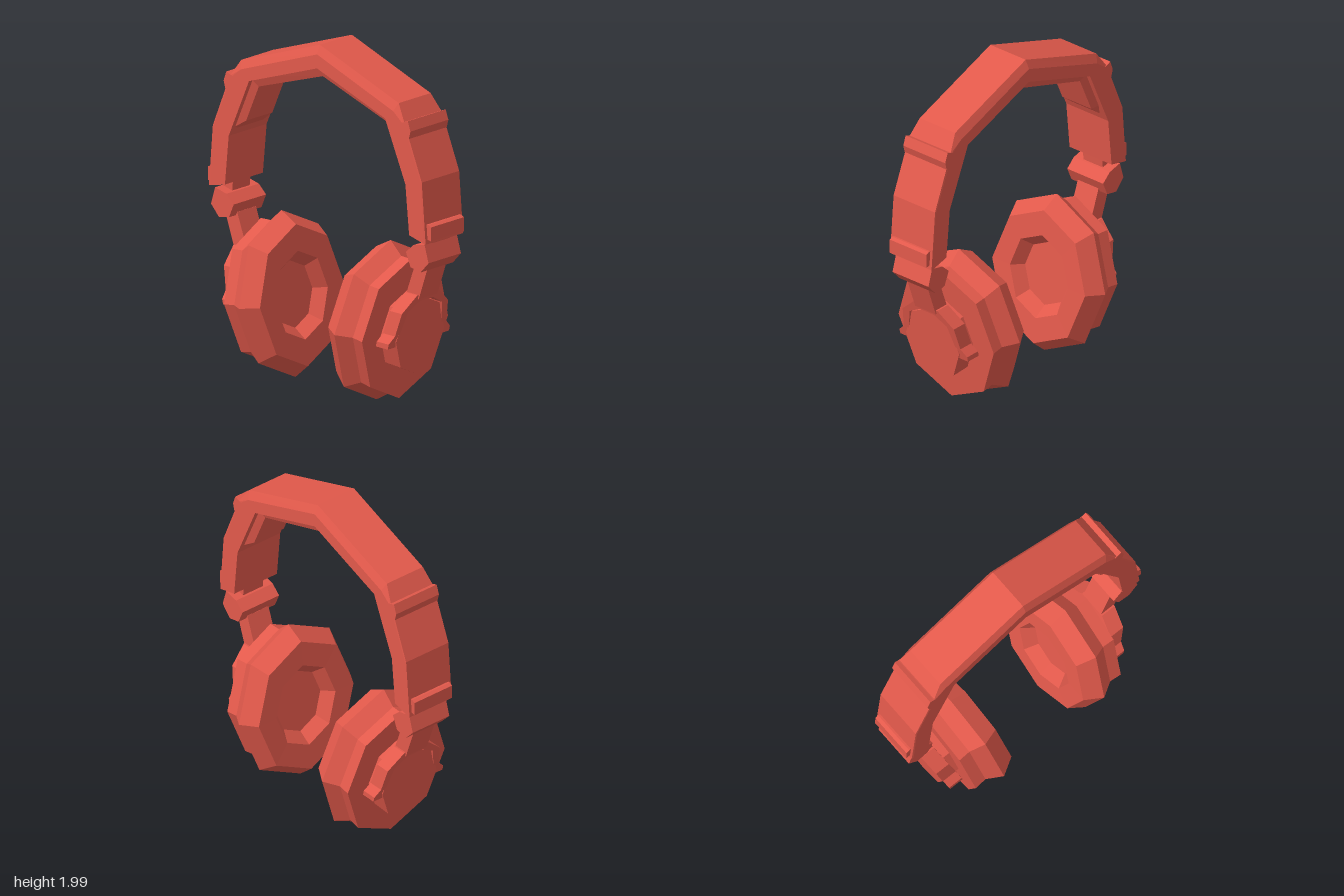
import * as THREE from 'three';

const red = new THREE.MeshStandardMaterial({ color: 0xe2594b, flatShading: true });
red.name = 'coral red';

function part(name, geometry) {
  const geo = geometry.index ? geometry.toNonIndexed() : geometry;
  geo.computeVertexNormals();
  const mesh = new THREE.Mesh(geo, red);
  mesh.name = name;
  return mesh;
}

// Prism: an outline in x,y with a depth of +-half in z
function prism(name, outline, half) {
  const shape = new THREE.Shape(outline.map(([x, y]) => new THREE.Vector2(x, y)));
  const geo = new THREE.ExtrudeGeometry(shape, { depth: 2 * half, bevelEnabled: false });
  return part(name, geo.translate(0, 0, -half));
}

// Closed skin over a row of equal convex cross-sections
function loft(name, sections) {
  const n = sections[0].length;
  const index = [];
  for (let i = 0; i < sections.length - 1; i++) {
    for (let j = 0; j < n; j++) {
      const a = i * n + j, b = i * n + (j + 1) % n;
      index.push(a, b, b + n, a, b + n, a + n);
    }
  }
  const last = (sections.length - 1) * n;
  for (let j = 1; j < n - 1; j++) {
    index.push(0, j + 1, j, last, last + j, last + j + 1);
  }
  const geo = new THREE.BufferGeometry();
  geo.setAttribute('position', new THREE.Float32BufferAttribute(sections.flat(2), 3));
  geo.setIndex(index);
  return part(name, geo);
}

// Arch from half a row of stations; each station lists [x, y, halfWidth] from outside to inside
function arch(name, half) {
  const flipped = half.slice(1).reverse().map(s => s.map(([x, y, w]) => [-x, y, w]));
  const sections = [...flipped, ...half].map(s => [
    ...s.map(([x, y, w]) => [x, y, w]),
    ...s.slice().reverse().map(([x, y, w]) => [x, y, -w]),
  ]);
  return loft(name, sections);
}

// Eight-sided oval turned about the tilted ear axis
function earTurning(name, profile) {
  const points = profile.map(([r, s]) => new THREE.Vector2(r, s));
  const geo = new THREE.LatheGeometry(points, 8);
  geo.scale(1, 1, 0.84);
  geo.rotateZ(-Math.PI / 2 - 0.112);
  geo.translate(0.357, 0.4725, 0);
  return part(name, geo);
}

// Fork that straddles the cap, leaning with the arm
function makeYoke() {
  const side = [
    [0.085, 0.7], [0.185, 0.61], [0.205, 0.48], [0.245, 0.44], [0.245, 0.41],
    [0.168, 0.41], [0.168, 0.48], [0.135, 0.61], [0.05, 0.66],
  ];
  const outline = [...side, ...side.slice().reverse().map(([z, y]) => [-z, y])];
  const shape = new THREE.Shape(outline.map(([z, y]) => new THREE.Vector2(-z, y)));
  const geo = new THREE.ExtrudeGeometry(shape, { depth: 0.09, bevelEnabled: false });
  geo.rotateY(Math.PI / 2);
  const p = geo.attributes.position;
  for (let i = 0; i < p.count; i++) {
    p.setX(i, p.getX(i) + 0.597 + 0.25 * (p.getY(i) - 0.69));
  }
  return part('yoke', geo);
}

function makeSide() {
  const side = new THREE.Group();
  side.add(
    prism('bandClip', [[0.62, 1.69], [0.655, 1.7], [0.68, 1.71], [0.7, 1.655], [0.688, 1.61], [0.64, 1.6]], 0.152),
    prism('bandEndPlate', [[0.78, 1.14], [0.815, 1.14], [0.835, 1.13], [0.836, 1.05], [0.78, 1.06]], 0.133),
    prism('neck', [[0.705, 1.08], [0.715, 0.97], [0.78, 0.97], [0.795, 1.08]], 0.07),
    prism('hinge', [[0.785, 1.02], [0.7, 1.0], [0.645, 0.95], [0.68, 0.87], [0.755, 0.855], [0.815, 0.92]], 0.13),
    prism('arm', [[0.67, 0.89], [0.765, 0.89], [0.69, 0.675], [0.6, 0.7]], 0.075),
    makeYoke(),
    // Cushion with its hollow, then the cup shell
    earTurning('earCushion', [
      [0, -0.03], [0.19, -0.03], [0.25, -0.1], [0.4, -0.102], [0.47, 0],
      [0.405, 0.088], [0.41, 0.161], [0, 0.161],
    ]),
    earTurning('earCap', [[0, 0.14], [0.235, 0.14], [0.229, 0.275], [0, 0.275]]),
  );
  return side;
}

export function createModel() {
  const model = new THREE.Group();
  model.name = 'headphones';

  // Band with chamfered crown and plain sides
  model.add(arch('headband', [
    [[0, 2, 0.128], [0, 1.95, 0.152], [0, 1.87, 0.152]],
    [[0.59, 1.79, 0.128], [0.57, 1.745, 0.152], [0.51, 1.69, 0.152]],
    [[0.655, 1.69, 0.15], [0.645, 1.685, 0.152], [0.545, 1.61, 0.152]],
    [[0.783, 1.38, 0.15], [0.775, 1.378, 0.152], [0.662, 1.345, 0.152]],
    [[0.812, 1.03, 0.15], [0.8, 1.033, 0.152], [0.69, 1.06, 0.152]],
  ]));

  // Padding under the crown
  model.add(arch('headPad', [
    [[0, 1.89, 0.135], [0, 1.815, 0.105]],
    [[0.53, 1.71, 0.135], [0.48, 1.655, 0.105]],
    [[0.64, 1.46, 0.135], [0.575, 1.44, 0.105]],
    [[0.68, 1.37, 0.135], [0.65, 1.38, 0.105]],
  ]));

  const left = makeSide();
  left.name = 'leftEarpiece';
  const right = makeSide();
  right.name = 'rightEarpiece';
  right.rotation.y = Math.PI;
  model.add(left, right);
  return model;
}
